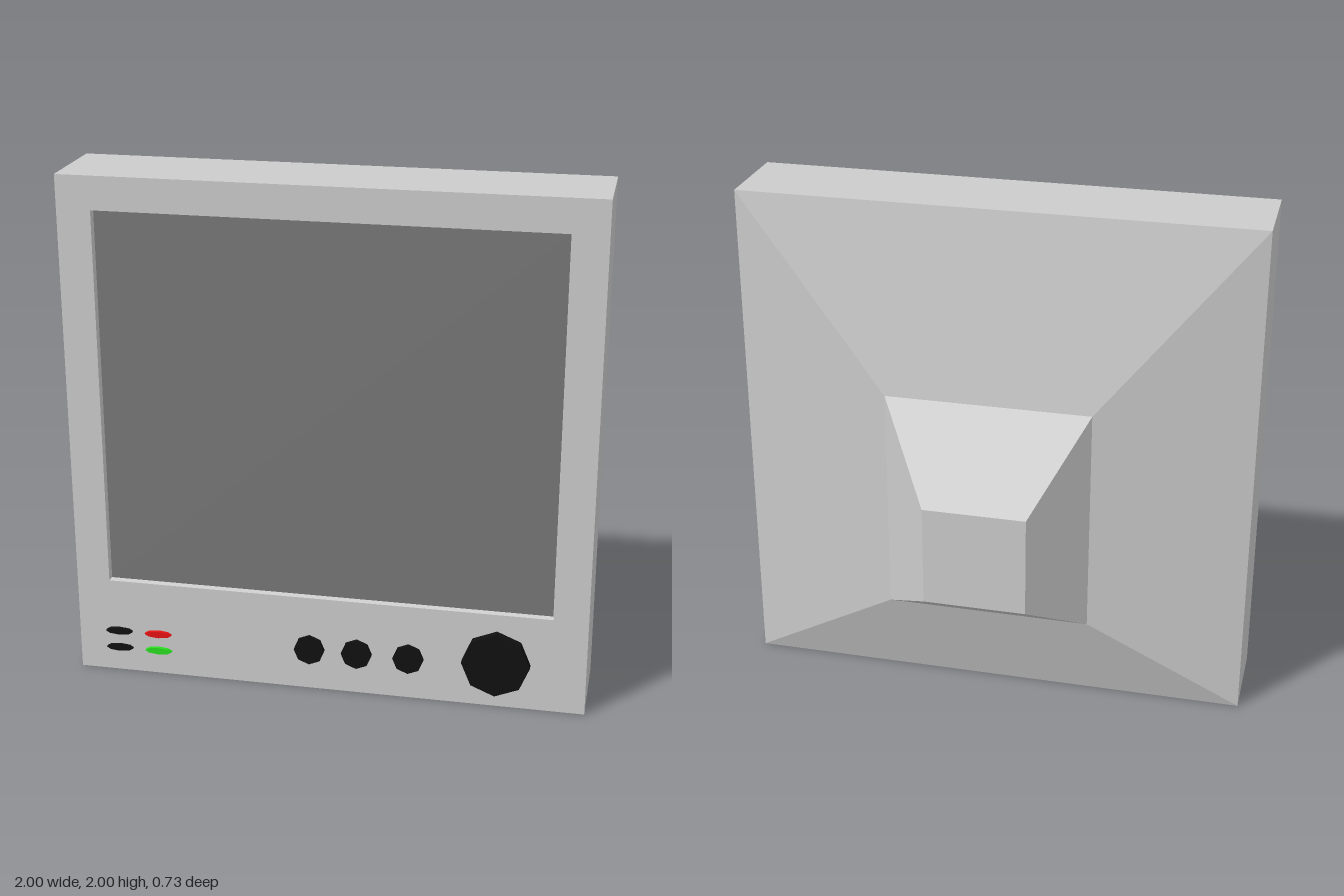
import * as THREE from 'three';

const FACE = 0.335; // z of the front panel
const SCREEN_Z = 0.315;

const material = (color) => new THREE.MeshStandardMaterial({ color, flatShading: true });

// Faceted skin over rectangular sections [halfWidth, bottom, top, z], closed at the last one
function loftRectangles(sections) {
  const rings = sections.map(([w, b, t, z]) => [[-w, b, z], [w, b, z], [w, t, z], [-w, t, z]]);
  const points = [];
  const quad = (a, b, c, d) => points.push(...a, ...b, ...c, ...a, ...c, ...d);
  for (let i = 0; i < rings.length - 1; i++) {
    for (let k = 0; k < 4; k++) {
      const n = (k + 1) % 4;
      quad(rings[i][k], rings[i + 1][k], rings[i + 1][n], rings[i][n]);
    }
  }
  const [a, b, c, d] = rings[rings.length - 1];
  quad(a, d, c, b);
  const geometry = new THREE.BufferGeometry();
  geometry.setAttribute('position', new THREE.Float32BufferAttribute(points, 3));
  geometry.computeVertexNormals();
  return geometry;
}

export function createModel() {
  const model = new THREE.Group();
  model.name = 'monitor';
  const grey = material(0xcccccc);
  const black = material(0x101010);
  const red = material(0xe71212);
  const green = material(0x28de20);

  const add = (name, geometry, mat, x = 0, y = 0, z = 0) => {
    const mesh = new THREE.Mesh(geometry, mat);
    mesh.name = name;
    mesh.position.set(x, y, z);
    model.add(mesh);
  };

  // Housing: screen recess, bezel, sides, sloped back and rear hump
  add('housing', loftRectangles([
    [0.865, 0.393, 1.867, SCREEN_Z],
    [0.87, 0.388, 1.872, FACE],
    [1, 0, 2, FACE],
    [1, 0, 2, -0.023],
    [0.4, 0.372, 1.272, -0.145],
    [0.2, 0.522, 0.922, -0.365],
  ]), grey);

  // Recessed screen
  add('screen', new THREE.PlaneGeometry(1.73, 1.474), material(0x777777), 0, 1.13, SCREEN_Z);

  // Eight-sided controls, standing out from the front panel
  const control = (name, x, y, rx, ry, depth, mat) => {
    const geometry = new THREE.CylinderGeometry(1, 1, depth, 8);
    geometry.rotateX(Math.PI / 2).scale(rx, ry, 1);
    add(name, geometry, mat, x, y, FACE + depth / 2);
  };

  control('largeKnob', 0.658, 0.188, 0.131, 0.131, 0.03, black);
  [-0.068, 0.118, 0.32].forEach((x, i) =>
    control(`smallKnob${i + 1}`, x, 0.17, 0.06, 0.06, 0.016, black));

  // Buttons and indicator lights
  const rows = [[0.174, red, 'redLight'], [0.102, green, 'greenLight']];
  rows.forEach(([y, mat, name], i) => {
    control(`button${i + 1}`, -0.836, y, 0.054, 0.014, 0.014, black);
    control(name, -0.677, y, 0.054, 0.014, 0.014, mat);
  });

  return model;
}
